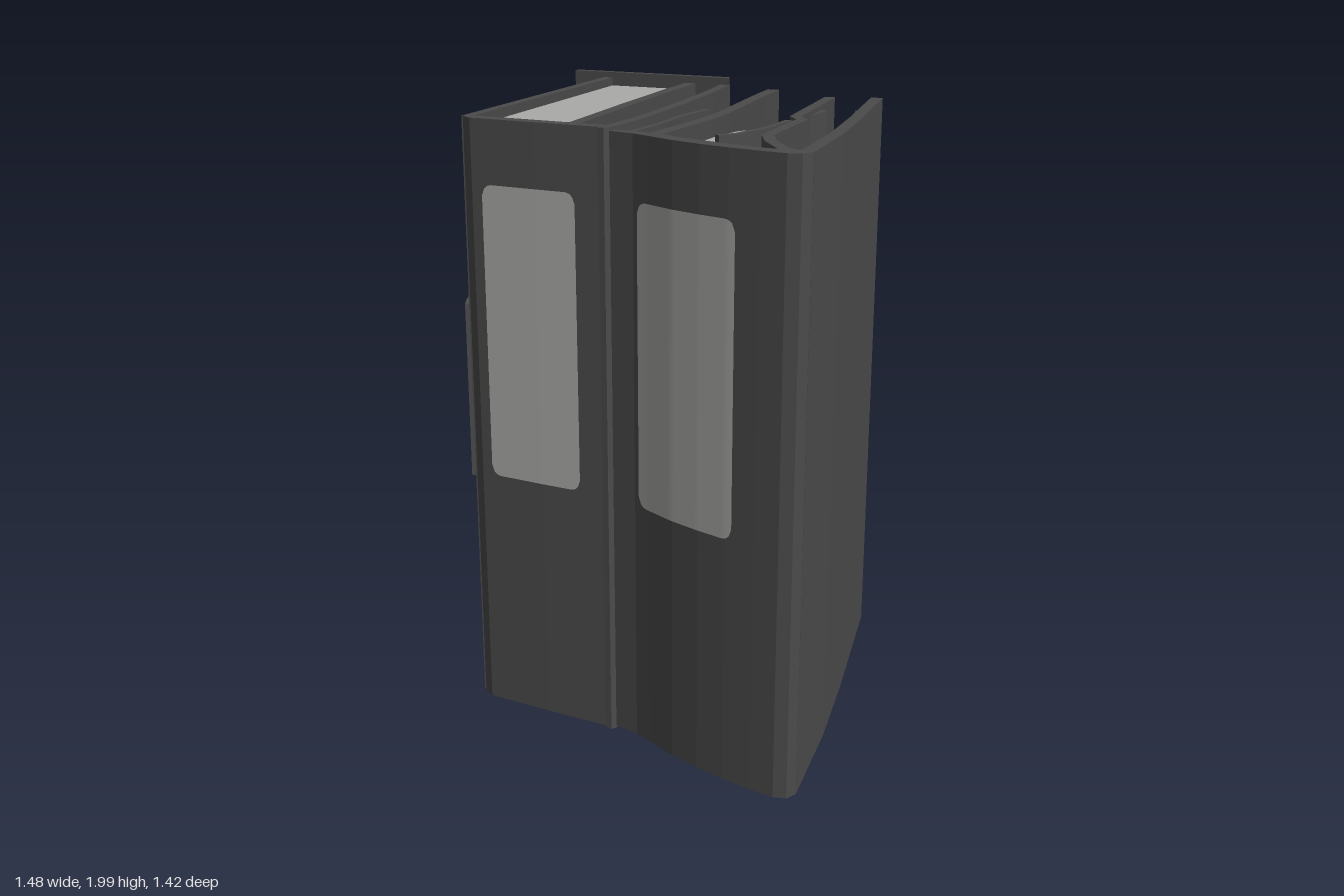
import * as THREE from 'three';

const dark = new THREE.MeshStandardMaterial({ color: 0x4b4b4b });
dark.name = 'charcoal cover';
const light = new THREE.MeshStandardMaterial({ color: 0xaaaaa8 });
light.name = 'paper grey';
const label = light.clone();
label.name = 'paper grey open';
label.side = THREE.DoubleSide;

// Front outlines of the two spines as [x, z]
const LEFT_SPINE = [[-0.485, 0.46], [-0.47, 0.505], [-0.43, 0.53], [-0.2, 0.537], [0.03, 0.54]];
const RIGHT_SPINE = [[0.05, 0.535], [0.14, 0.553], [0.2, 0.578], [0.3, 0.622], [0.4, 0.654],
  [0.5, 0.679], [0.6, 0.696], [0.68, 0.706], [0.72, 0.695], [0.737, 0.66]];

export function createModel() {
  const model = new THREE.Group();

  // Upright prism from a plan outline of [x, z] points; holes are [x, z, rx, rz]
  function prism(name, pts, y0, y1, material = dark, holes = []) {
    const shape = new THREE.Shape(pts.map(([x, z]) => new THREE.Vector2(x, -z)));
    for (const [x, z, rx, rz] of holes) {
      const hole = new THREE.Path();
      hole.absellipse(x, -z, rx, rz, 0, Math.PI * 2, true, 0.12);
      shape.holes.push(hole);
    }
    const geo = new THREE.ExtrudeGeometry(shape, { depth: y1 - y0, bevelEnabled: false, curveSegments: 10 });
    geo.rotateX(-Math.PI / 2).translate(0, y0, 0);
    const mesh = new THREE.Mesh(geo, material);
    mesh.name = name;
    model.add(mesh);
    return mesh;
  }

  // Upright board of even thickness following a plan path
  function board(name, path, thickness, y0, y1) {
    const side = (s) => path.map(([x, z], i) => {
      const a = path[Math.max(i - 1, 0)], b = path[Math.min(i + 1, path.length - 1)];
      const dx = b[0] - a[0], dz = b[1] - a[1], k = s * thickness / 2 / Math.hypot(dx, dz);
      return [x - dz * k, z + dx * k];
    });
    return prism(name, [...side(1), ...side(-1).reverse()], y0, y1);
  }

  // Rounded label that follows a spine outline
  function spineLabel(name, spine, x0, x1, y0, y1) {
    const geo = new THREE.PlaneGeometry(1, 1, 40, 1);
    const p = geo.attributes.position, r = 0.035;
    for (let i = 0; i < p.count; i++) {
      const t = p.getX(i) + 0.5, x = x0 + (x1 - x0) * t;
      const d = Math.max(0, r - Math.min(x - x0, x1 - x));
      const inset = r - Math.sqrt(Math.max(0, r * r - d * d));
      const k = Math.max(1, spine.findIndex((q) => q[0] >= x));
      const [a, b] = [spine[k - 1], spine[k]];
      const z = a[1] + (b[1] - a[1]) * (x - a[0]) / (b[0] - a[0]);
      p.setXYZ(i, x, p.getY(i) > 0 ? y1 - inset : y0 + inset, z + 0.006);
    }
    geo.computeVertexNormals();
    const mesh = new THREE.Mesh(geo, label);
    mesh.name = name;
    model.add(mesh);
  }

  // Left binder: covers, spine and overhanging back panel
  board('leftOuterCover', [[-0.6, -0.69], [-0.46, 0.5]], 0.035, 0.015, 1.98);
  board('leftInnerCover', [[-0.255, -0.69], [-0.23, -0.45], [-0.17, 0], [-0.14, 0.2], [-0.095, 0.51]], 0.04, 0.015, 1.975);
  board('leftFarCover', [[-0.12, -0.69], [-0.075, -0.45], [-0.03, -0.15], [0, 0.1], [0.02, 0.3], [0.025, 0.53]], 0.035, 0.015, 1.975);
  prism('leftSpine', [...LEFT_SPINE, [0.03, 0.495], [-0.44, 0.48]], 0.012, 1.98);
  prism('backPanel', [[-0.74, -0.71], [-0.11, -0.705], [-0.1, -0.675], [-0.74, -0.68]], 0.012, 2);

  // Left paper block with pale top sheet
  const leftPaper = [[-0.595, -0.68], [-0.26, -0.68], [-0.23, -0.42], [-0.1, 0.49], [-0.45, 0.49]];
  prism('leftPaperBlock', leftPaper, 0.06, 1.945);
  prism('leftPaperTop', [[-0.575, -0.668], [-0.32, -0.668], [-0.285, -0.62], [-0.25, -0.35], [-0.19, 0],
    [-0.115, 0.45], [-0.14, 0.485], [-0.4, 0.49], [-0.435, 0.45], [-0.51, -0.15]], 1.945, 1.952, light);

  // Crumpled sleeves between the covers
  prism('sleeveFill', [[-0.24, -0.68], [-0.13, -0.68], [-0.04, -0.2], [0.02, 0.3], [0.025, 0.51],
    [-0.1, 0.51], [-0.18, 0]], 0.07, 1.84);
  board('sleeveFold', [[-0.15, -0.22], [-0.1, -0.17], [-0.08, 0], [-0.03, 0.05]], 0.02, 1.8, 1.93);
  board('sleeveFold', [[-0.1, 0.03], [-0.07, 0.2], [-0.05, 0.48]], 0.025, 1.8, 1.91);
  board('sleeveFold', [[-0.18, -0.6], [-0.14, -0.4], [-0.13, -0.2]], 0.025, 1.8, 1.89);

  // Closing flap wrapping round from the back panel
  board('closingFlap', [[-0.732, -0.69], [-0.735, -0.5], [-0.727, -0.25], [-0.712, -0.12], [-0.68, 0.02],
    [-0.65, 0.14], [-0.61, 0.27], [-0.56, 0.38], [-0.535, 0.425]], 0.016, 0.765, 1.36);

  // Middle divider and the webbing that joins it, with through openings
  board('middleDivider', [[0.065, -0.7], [0.09, -0.52], [0.135, -0.24], [0.17, -0.02], [0.185, 0.15],
    [0.185, 0.45], [0.19, 0.55]], 0.042, 0.015, 1.965);
  prism('middleWebbing', [[-0.065, -0.56], [-0.02, -0.52], [0.03, -0.505], [0.08, -0.57], [0.13, -0.24],
    [0.19, 0.1], [0.19, 0.56], [0.03, 0.53], [0, 0.1], [-0.05, -0.3]], 0.05, 1.9, dark,
  [[0.037, -0.34, 0.052, 0.11], [0.097, 0.125, 0.052, 0.135]]);
  board('webbingFold', [[0.035, -0.2], [0.03, 0.0], [0.05, 0.2], [0.05, 0.5]], 0.02, 1.85, 1.95);
  board('webbingFold', [[0.09, 0.27], [0.11, 0.36], [0.12, 0.52]], 0.02, 1.85, 1.94);

  // Ridge where the two spines meet
  prism('spineRidge', [[0.02, 0.5], [0.06, 0.5], [0.055, 0.538], [0.045, 0.552], [0.025, 0.55]], 0.012, 1.98);

  // Right binder: spine, outer cover and inner divider
  prism('rightSpine', [...RIGHT_SPINE, [0.69, 0.63], [0.6, 0.645], [0.45, 0.61], [0.3, 0.565],
    [0.21, 0.52], [0.05, 0.5]], 0.02, 1.97);
  board('rightOuterCover', [[0.495, -0.58], [0.53, -0.41], [0.605, -0.05], [0.67, 0.3], [0.717, 0.66]], 0.04, 0.02, 1.97);
  prism('coverTab', [[0.49, -0.37], [0.54, -0.36], [0.56, -0.22]], 0.05, 1.95);
  board('rightDivider', [[0.328, -0.57], [0.355, -0.4], [0.385, -0.2], [0.41, -0.04], [0.455, 0.02],
    [0.47, 0.2], [0.49, 0.38], [0.54, 0.48], [0.62, 0.59], [0.69, 0.64]], 0.036, 0.02, 1.965);
  board('dividerFold', [[0.395, -0.02], [0.4, 0.15], [0.37, 0.32], [0.33, 0.38]], 0.022, 1.85, 1.955);
  prism('dividerTab', [[0.37, -0.36], [0.415, -0.31], [0.4, -0.12], [0.38, -0.2]], 0.05, 1.95);

  // Right paper block with a through opening and pale top sheet
  const opening = [[0.405, 0.425, 0.055, 0.075]];
  prism('rightPaperBlock', [[0.19, 0.1], [0.215, -0.04], [0.27, -0.09], [0.36, -0.125], [0.41, -0.02],
    [0.46, 0.02], [0.49, 0.38], [0.54, 0.48], [0.67, 0.64], [0.45, 0.63], [0.2, 0.53]], 0.05, 1.9, dark, opening);
  prism('rightPaperTop', [[0.2, 0.1], [0.22, -0.04], [0.27, -0.085], [0.355, -0.115], [0.385, 0], [0.385, 0.16],
    [0.35, 0.31], [0.32, 0.37], [0.33, 0.46], [0.37, 0.505], [0.45, 0.51], [0.52, 0.56], [0.62, 0.625],
    [0.45, 0.605], [0.28, 0.545], [0.21, 0.48]], 1.9, 1.908, light);

  // Spine labels
  spineLabel('leftLabel', LEFT_SPINE, -0.39, -0.06, 0.83, 1.78);
  spineLabel('rightLabel', RIGHT_SPINE, 0.16, 0.525, 0.825, 1.775);

  return model;
}
